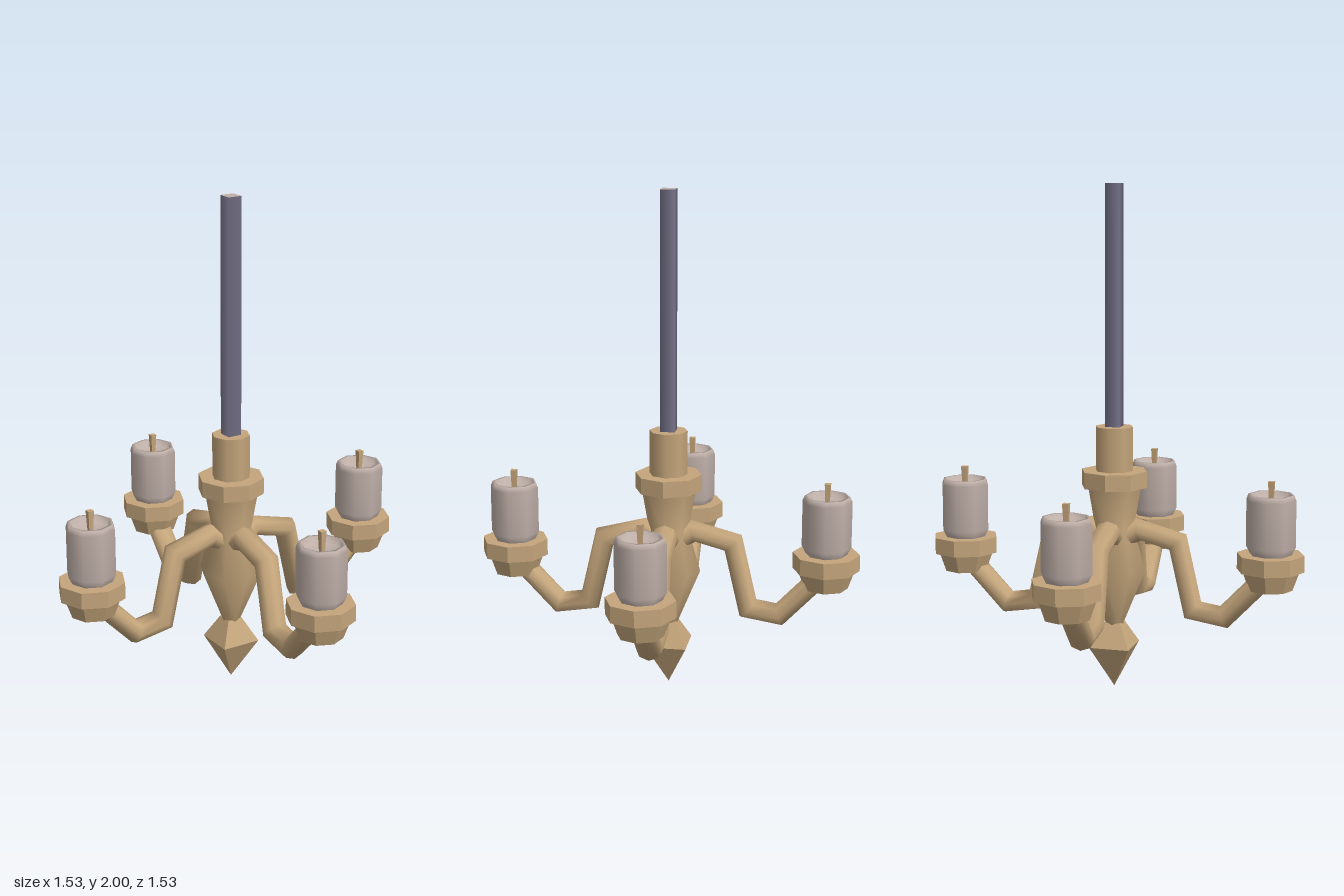
import * as THREE from 'three';

const SIDES = 8;

export function createModel() {
  const brass = new THREE.MeshStandardMaterial({ color: 0xc4a57b });
  brass.name = 'brass';
  const wax = new THREE.MeshStandardMaterial({ color: 0xbfafa8 });
  wax.name = 'wax';
  const iron = new THREE.MeshStandardMaterial({ color: 0x77738a });
  iron.name = 'iron';

  const model = new THREE.Group();
  model.name = 'chandelier';

  function add(parent, name, geometry, material) {
    const mesh = new THREE.Mesh(geometry, material);
    mesh.name = name;
    parent.add(mesh);
    return mesh;
  }

  // Upright prism or frustum between two heights
  function drum(y0, y1, r0, r1, sides = SIDES, flat = true, turn = 0) {
    let g = new THREE.CylinderGeometry(r1, r0, y1 - y0, sides);
    g.rotateY(turn);
    g.translate(0, (y0 + y1) / 2, 0);
    if (flat) {
      g = g.toNonIndexed();
      g.computeVertexNormals();
    }
    return g;
  }

  // Profile of [radius, height] pairs turned about y
  function turned(profile) {
    return new THREE.LatheGeometry(profile.map(([r, y]) => new THREE.Vector2(r, y)), SIDES);
  }

  // Mitred tube along a bent path in the xy plane
  function bentTube(path, inPlane, across) {
    const pts = path.map(([x, y]) => new THREE.Vector2(x, y));
    const positions = [], index = [];
    pts.forEach((p, i) => {
      const a = pts[Math.max(i - 1, 0)], b = pts[Math.min(i + 1, pts.length - 1)];
      const before = (i ? p.clone().sub(a) : b.clone().sub(p)).normalize();
      const after = (i < pts.length - 1 ? b.clone().sub(p) : p.clone().sub(a)).normalize();
      const t = before.clone().add(after).normalize();
      const h = inPlane / t.dot(after);
      for (let j = 0; j < SIDES; j++) {
        const angle = (j / SIDES) * Math.PI * 2;
        const n = Math.cos(angle) * h;
        positions.push(p.x - t.y * n, p.y + t.x * n, Math.sin(angle) * across);
      }
      if (i === pts.length - 1) return;
      for (let j = 0; j < SIDES; j++) {
        const k = (j + 1) % SIDES, r = i * SIDES, s = r + SIDES;
        index.push(r + j, r + k, s + j, r + k, s + k, s + j);
      }
    });
    const g = new THREE.BufferGeometry();
    g.setAttribute('position', new THREE.Float32BufferAttribute(positions, 3));
    g.setIndex(index);
    g.computeVertexNormals();
    return g;
  }

  // Hanging rod
  add(model, 'rod', drum(1.04, 2, 0.041, 0.041, 4, false, Math.PI / 4), [iron, wax, iron]);

  // Central column
  add(model, 'collar', drum(0.87, 1.055, 0.076, 0.076, SIDES, false), brass);
  add(model, 'collarRing', drum(0.815, 0.88, 0.133, 0.133), brass);
  add(model, 'body', turned([[0.035, 0.255], [0.128, 0.48], [0.08, 0.65], [0.11, 0.82]]), brass);

  // Square drop at the bottom
  const r2 = Math.SQRT2;
  add(model, 'finialTop', drum(0.17, 0.265, 0.081 * r2, 0.032 * r2, 4, true, Math.PI / 4), brass);
  add(model, 'finialPoint', drum(0, 0.17, 0.0005, 0.081 * r2, 4, true, Math.PI / 4), brass);

  // Shared geometry of the four branches
  const armGeo = bentTube(
    [[0.02, 0.59], [0.1, 0.647], [0.26, 0.605], [0.322, 0.335], [0.448, 0.315], [0.61, 0.485]],
    0.041, 0.053);
  const cupGeo = drum(0.44, 0.516, 0.088, 0.115);
  const rimGeo = drum(0.515, 0.58, 0.133, 0.133);
  const candleGeo = turned([[0.08, 0.575], [0.098, 0.61], [0.098, 0.795], [0.09, 0.815],
    [0.077, 0.815], [0.07, 0.79], [0, 0.782]]);
  const wickGeo = drum(0.78, 0.866, 0.011, 0.017, 4, true, Math.PI / 4);

  for (let i = 0; i < 4; i++) {
    const branch = new THREE.Group();
    branch.name = 'branch' + (i + 1);
    branch.rotation.y = (i * Math.PI) / 2;
    model.add(branch);
    add(branch, 'arm', armGeo, brass);
    for (const [name, geo, mat] of [['cup', cupGeo, brass], ['cupRim', rimGeo, brass],
      ['candle', candleGeo, wax], ['wick', wickGeo, brass]]) {
      add(branch, name, geo, mat).position.x = 0.63;
    }
  }
  return model;
}
